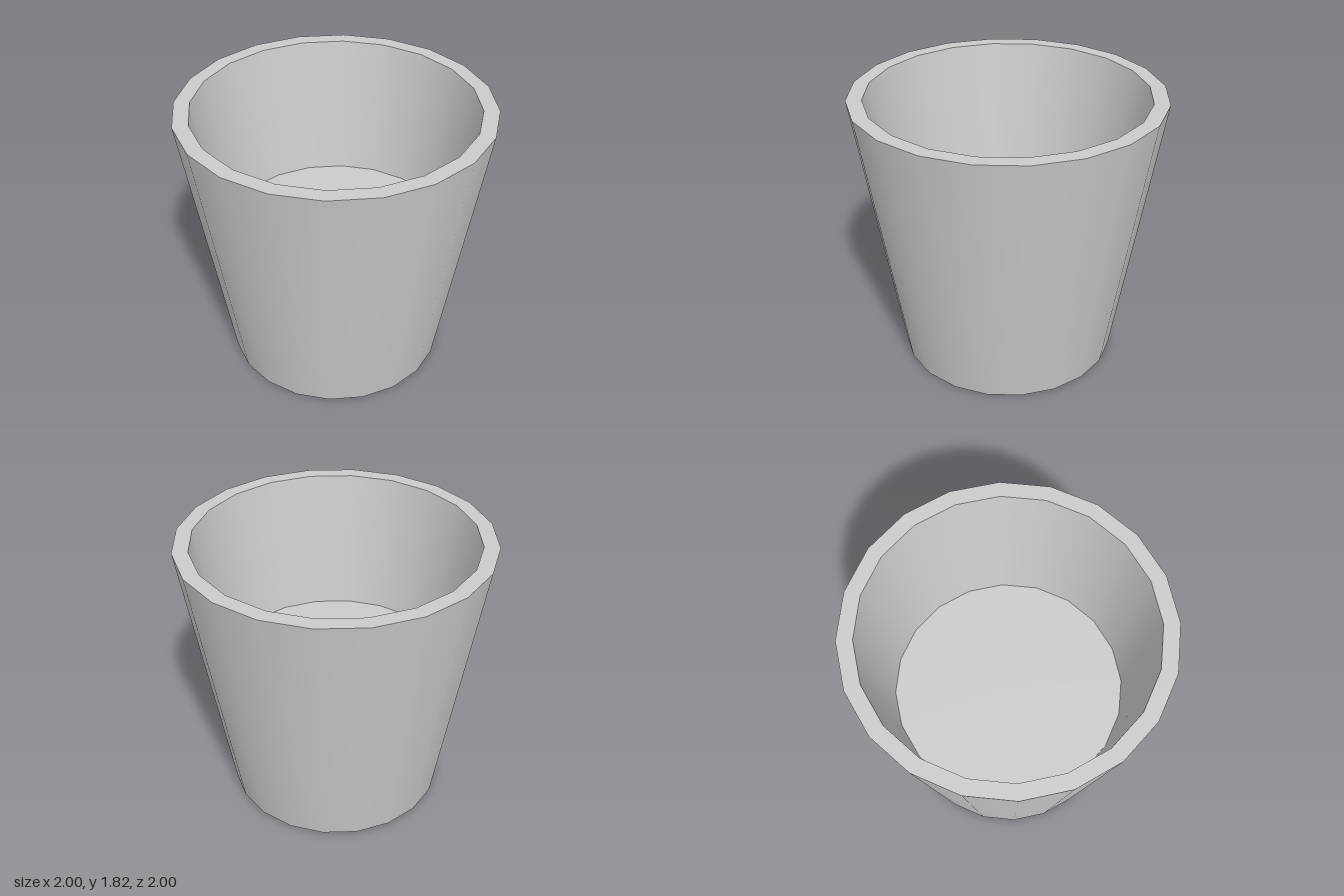
import * as THREE from 'three';

const SIDES = 20;

export function createModel() {
  const group = new THREE.Group();
  group.name = 'pot';
  const material = new THREE.MeshStandardMaterial({ color: 0xcccccc });

  // One turned band between two profile points; separate bands keep the rims sharp
  const band = (name, r0, y0, r1, y1) => {
    const points = [new THREE.Vector2(r0, y0), new THREE.Vector2(r1, y1)];
    const mesh = new THREE.Mesh(new THREE.LatheGeometry(points, SIDES), material);
    mesh.name = name;
    group.add(mesh);
  };

  // Profile runs from the centre of the underside, up and over the rim, to the inner floor
  band('underside', 0, 0, 0.715, 0);
  band('outerWall', 0.715, 0, 1, 1.815);
  band('rim', 1, 1.815, 0.9, 1.815);
  band('innerWall', 0.9, 1.815, 0.755, 0.89);
  band('innerFloor', 0.755, 0.89, 0, 0.89);

  return group;
}
